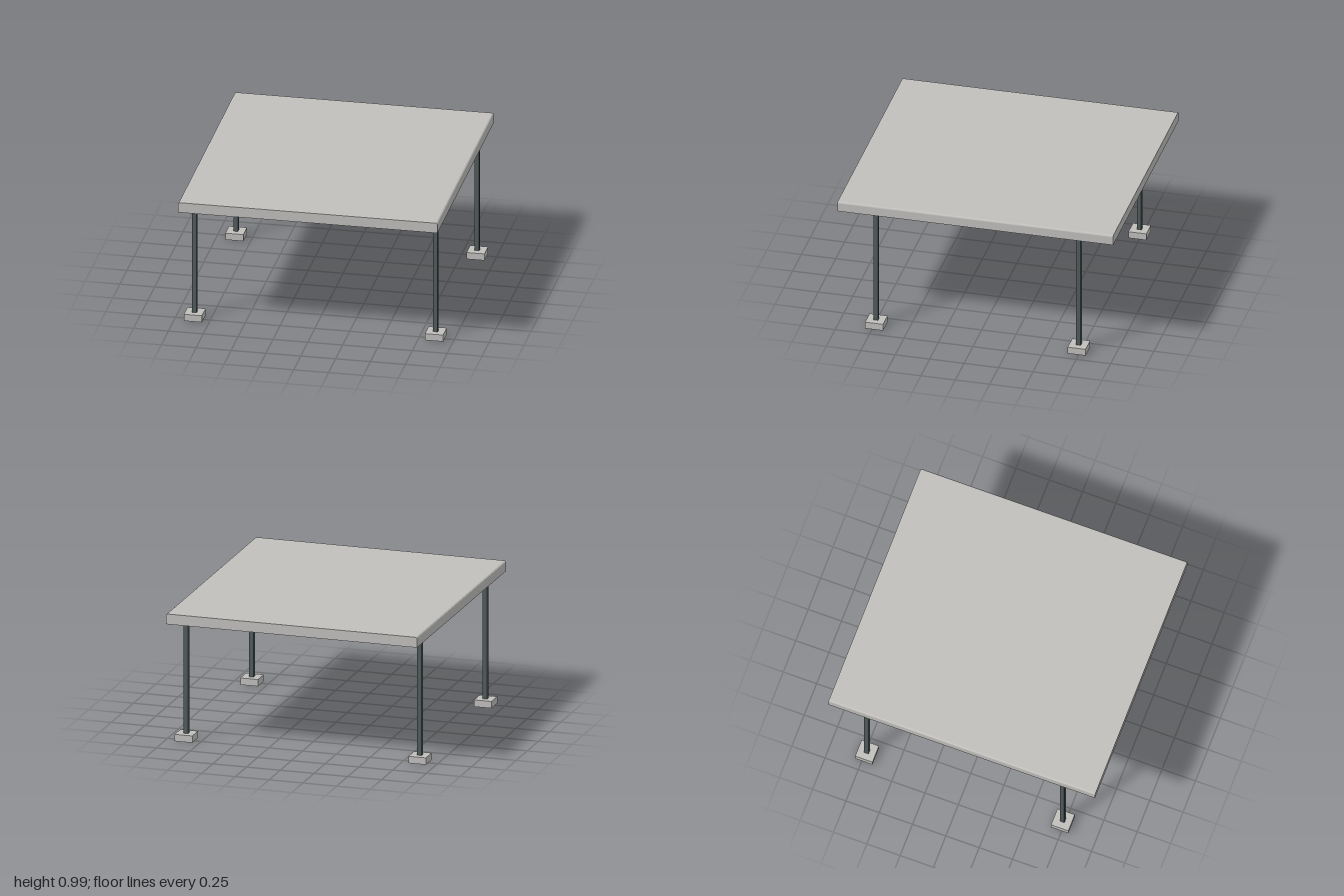
import * as THREE from 'three';

const concrete = new THREE.MeshStandardMaterial({ color: 0xc0bfbc });
concrete.name = 'pale concrete';
const steel = new THREE.MeshStandardMaterial({ color: 0x515c5c });
steel.name = 'dark steel';

const W = 0.93, D = 1, BOTTOM = 0.915, TOP = 0.99, CEILING = 0.925, RIM = 0.02;
const LEG_X = 0.865, LEG_Z = 0.735;

function add(parent, name, geometry, material, x = 0, y = 0, z = 0) {
  const mesh = new THREE.Mesh(geometry, material);
  mesh.name = name;
  mesh.position.set(x, y, z);
  parent.add(mesh);
  return mesh;
}

// Roof cross-section with softened top edges, optionally hollowed below
function roofProfile(hollow) {
  const r = 0.014;
  const s = new THREE.Shape();
  s.moveTo(W, BOTTOM);
  s.lineTo(W, TOP - r);
  s.absarc(W - r, TOP - r, r, 0, Math.PI / 2, false);
  s.lineTo(-W + r, TOP);
  s.absarc(-W + r, TOP - r, r, Math.PI / 2, Math.PI, false);
  s.lineTo(-W, BOTTOM);
  if (hollow) {
    s.lineTo(-W + RIM, BOTTOM);
    s.lineTo(-W + RIM, CEILING);
    s.lineTo(W - RIM, CEILING);
    s.lineTo(W - RIM, BOTTOM);
  }
  s.closePath();
  return s;
}

function extrude(shape, depth) {
  return new THREE.ExtrudeGeometry(shape, { depth, bevelEnabled: false, curveSegments: 4 });
}

// Square tube section with slightly eased corners
function tubeProfile(half, r) {
  const s = new THREE.Shape();
  [[1, 1], [-1, 1], [-1, -1], [1, -1]].forEach(([sx, sy], i) => {
    s.absarc(sx * (half - r), sy * (half - r), r, i * Math.PI / 2, (i + 1) * Math.PI / 2, false);
  });
  s.closePath();
  return s;
}

export function createModel() {
  const model = new THREE.Group();
  model.name = 'canopy';

  // Roof slab: hollowed middle and a solid lip at each end
  const roof = new THREE.Group();
  roof.name = 'roof';
  model.add(roof);
  add(roof, 'roofSlab', extrude(roofProfile(true), 2 * (D - RIM)), concrete, 0, 0, -D + RIM);
  add(roof, 'frontLip', extrude(roofProfile(false), RIM), concrete, 0, 0, D - RIM);
  add(roof, 'backLip', extrude(roofProfile(false), RIM), concrete, 0, 0, -D);

  const legGeometry = extrude(tubeProfile(0.0175, 0.004), 0.9);
  legGeometry.rotateX(-Math.PI / 2);

  for (const sx of [-1, 1]) {
    // Long beam carrying the roof
    add(model, 'beam', new THREE.BoxGeometry(0.045, 0.022, 1.87), steel, sx * LEG_X, 0.916, 0);

    for (const sz of [-1, 1]) {
      // Post standing in its footing
      add(model, 'leg', legGeometry, steel, sx * LEG_X, 0.008, sz * LEG_Z);
      add(model, 'footing', new THREE.BoxGeometry(0.13, 0.05, 0.13), concrete,
        sx * LEG_X, 0.025, sz * LEG_Z);
      // Flat ceiling light
      add(model, 'ceilingLight', new THREE.BoxGeometry(0.16, 0.008, 0.05), concrete,
        sx * 0.46, CEILING - 0.003, sz * 0.46);
    }
  }
  return model;
}
